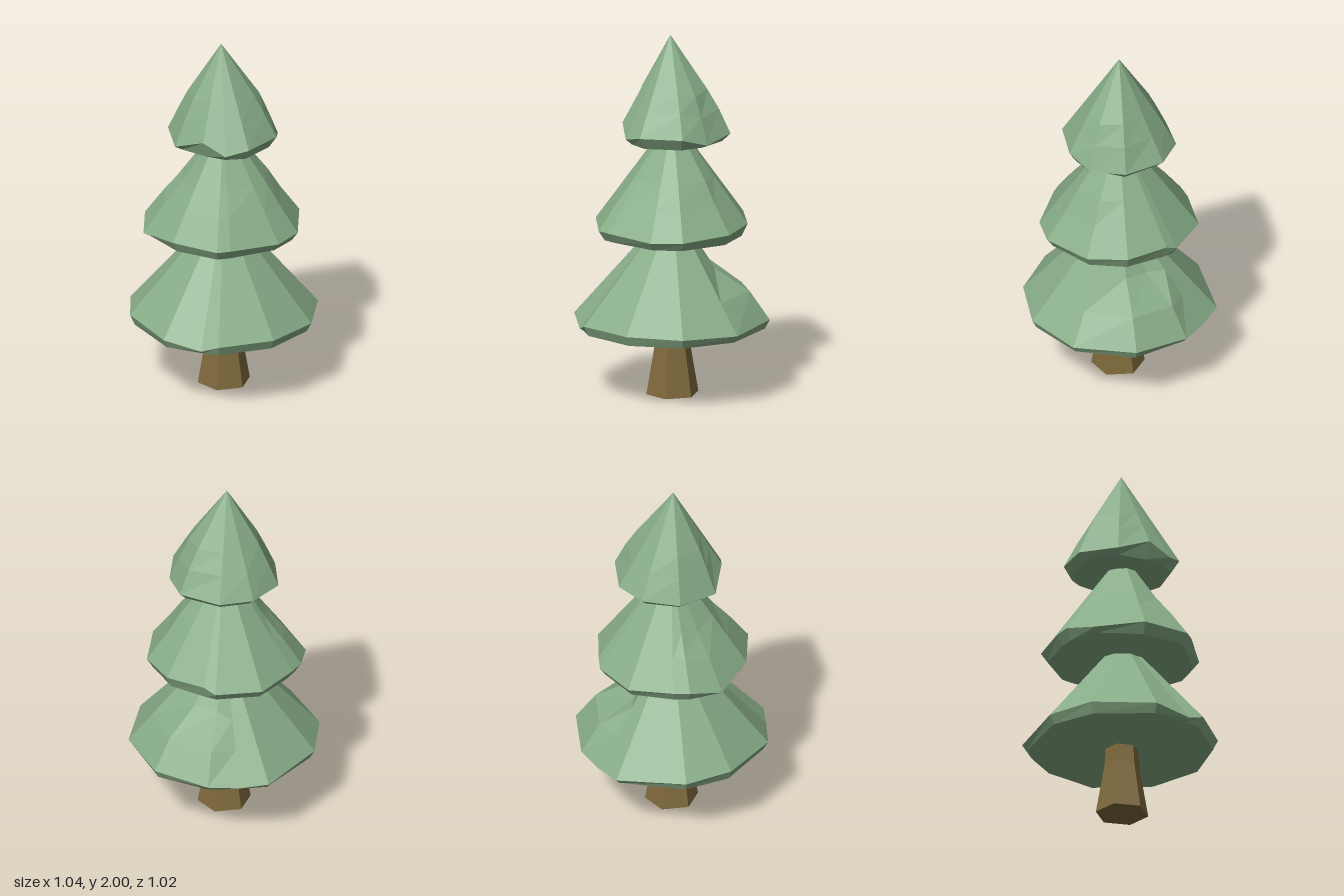
import * as THREE from 'three';

const green = new THREE.MeshStandardMaterial({ color: 0x88ad88, flatShading: true });
const brown = new THREE.MeshStandardMaterial({ color: 0x7f6a3c, flatShading: true });

// One faceted tier of foliage. Each rim entry is [x, z, y, lower bulge, upper bulge],
// the bulges pushing the slope out of (or into) the straight line to the apex.
function foliageTier(name, rim, baseY, inset, apex) {
  const [ax, ay, az] = apex;
  const slope = (t, k) => rim.map((p) => {
    const bulge = p[k] ?? 1;
    return [ax + (p[0] - ax) * (1 - t) * bulge, p[2] + (ay - p[2]) * t, az + (p[1] - az) * (1 - t) * bulge];
  });
  const rings = [
    rim.map(() => [0, baseY, 0]),
    rim.map(([x, z]) => [x * inset, baseY, z * inset]),
    slope(0, -1),
    slope(0.25, 3),
    slope(0.45, 4),
    rim.map(() => apex),
  ];
  const positions = [];
  for (let r = 0; r < rings.length - 1; r++) {
    const low = rings[r], up = rings[r + 1];
    for (let i = 0; i < rim.length; i++) {
      const j = (i + 1) % rim.length;
      if (r > 0) positions.push(...low[j], ...low[i], ...up[i]);
      if (r < rings.length - 2) positions.push(...(r > 0 ? low[j] : low[i]), ...up[i], ...up[j]);
    }
  }
  const geometry = new THREE.BufferGeometry();
  geometry.setAttribute('position', new THREE.Float32BufferAttribute(positions, 3));
  geometry.computeVertexNormals();
  const mesh = new THREE.Mesh(geometry, green);
  mesh.name = name;
  return mesh;
}

export function createModel() {
  const tree = new THREE.Group();
  tree.name = 'pineTree';

  // Six-sided trunk, flared at the foot
  const profile = [[0, 0], [0.145, 0], [0.097, 0.28], [0.088, 0.42]].map(([x, y]) => new THREE.Vector2(x, y));
  const trunk = new THREE.Mesh(new THREE.LatheGeometry(profile, 6, Math.PI / 2), brown);
  trunk.name = 'trunk';
  tree.add(trunk);

  // Wide lower tier with a ledge at the back right
  tree.add(foliageTier('lowerFoliage', [
    [-0.16, -0.515, 0.41], [0, -0.51, 0.4], [0.17, -0.49, 0.41, 1.06, 0.75],
    [0.43, -0.315, 0.43, 1.06, 0.78], [0.52, 0.02, 0.42], [0.405, 0.32, 0.43],
    [0.15, 0.495, 0.435], [-0.16, 0.51, 0.435], [-0.245, 0.46, 0.4],
    [-0.42, 0.33, 0.43], [-0.52, -0.01, 0.44], [-0.45, -0.265, 0.43],
  ], 0.38, 0.95, [0, 1.05, 0]));

  // Middle tier
  tree.add(foliageTier('middleFoliage', [
    [-0.14, -0.415, 0.95], [0.115, -0.405, 0.95], [0.17, -0.37, 0.98],
    [0.35, -0.225, 0.97], [0.425, -0.015, 0.96, 1, 1.05], [0.345, 0.26, 0.95, 1, 1.03],
    [0.21, 0.37, 0.945], [-0.07, 0.415, 0.955, 1, 0.95], [-0.145, 0.415, 0.955, 1, 0.95],
    [-0.345, 0.24, 0.96], [-0.445, -0.01, 0.92, 1, 0.93], [-0.39, -0.19, 0.96, 1, 0.96],
    [-0.33, -0.26, 0.96],
  ], 0.9, 0.92, [0, 1.55, 0]));

  // Pointed top tier
  tree.add(foliageTier('topFoliage', [
    [-0.11, -0.295, 1.465, 1.03, 1.03], [0.075, -0.305, 1.465], [0.27, -0.175, 1.47, 1.08, 1.12],
    [0.295, 0.025, 1.445, 1.1, 1.22], [0.25, 0.17, 1.49, 1.04, 1.08], [0.06, 0.305, 1.49],
    [-0.065, 0.29, 1.46], [-0.17, 0.21, 1.52], [-0.29, 0.07, 1.45, 1.06, 1.12],
    [-0.27, -0.16, 1.46, 1.06, 1.12],
  ], 1.425, 0.86, [-0.015, 2, 0]));

  return tree;
}
